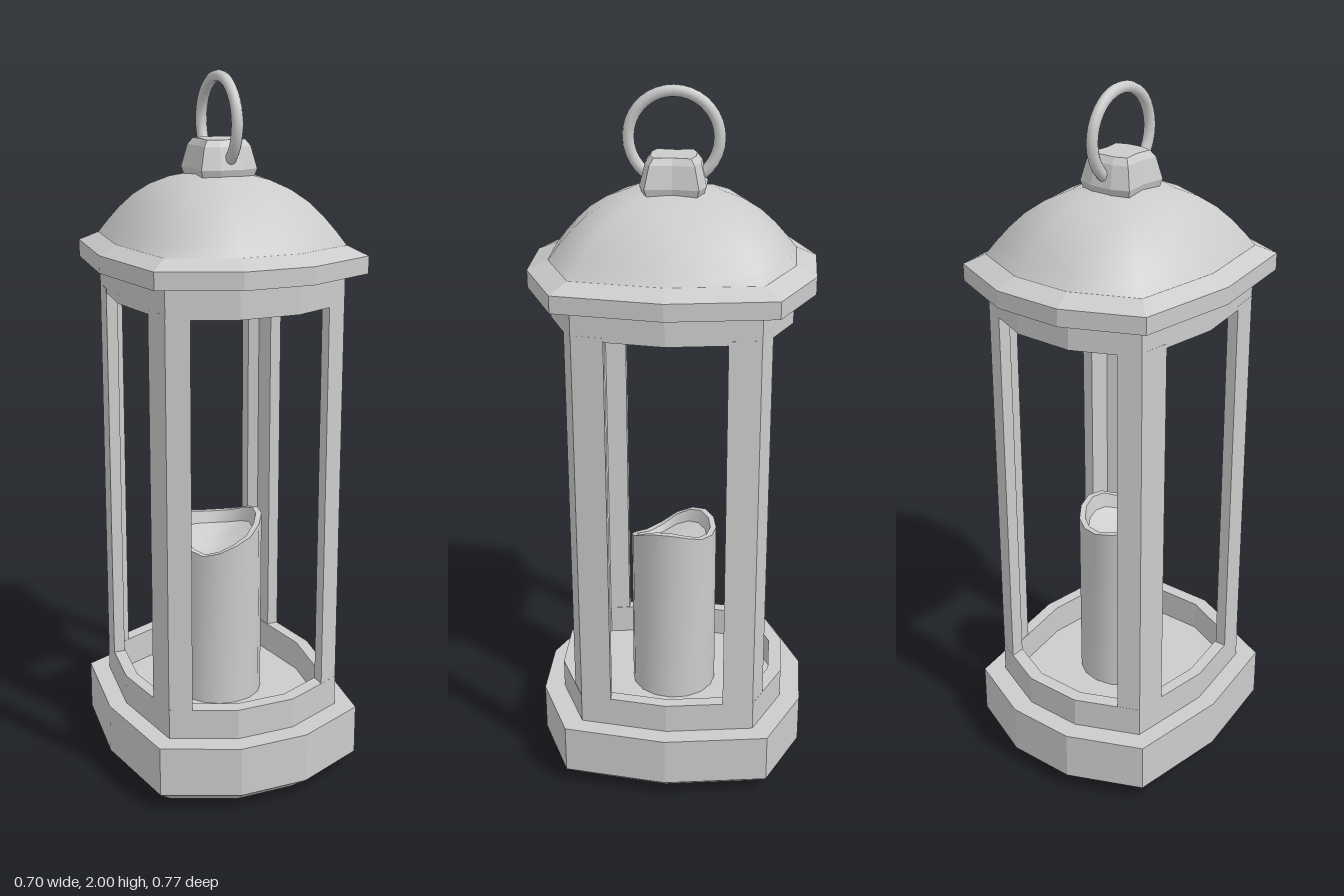
import * as THREE from 'three';
import { toCreasedNormals } from 'three/addons/utils/BufferGeometryUtils.js';

const material = new THREE.MeshStandardMaterial({ color: 0xcccccc });
const thin = new THREE.MeshStandardMaterial({ color: 0xcccccc, side: THREE.DoubleSide });

// Mirror one quarter outline [side, corner, end] into a ten-sided footprint
function tenSided([side, corner, end]) {
  const [c, e] = [corner, end];
  return [
    side, c, e, [-e[0], e[1]], [-c[0], c[1]],
    [-side[0], 0], [-c[0], -c[1]], [-e[0], -e[1]], [e[0], -e[1]], [c[0], -c[1]],
  ];
}
const footprint = tenSided([[0.35, 0], [0.308, 0.295], [0.1, 0.387]]);

// Skin a stack of rings of [x, y, z] points
function skin(rings) {
  const n = rings[0].length, index = [];
  for (let i = 0; i < rings.length - 1; i++) {
    for (let j = 0; j < n; j++) {
      const a = i * n + j, b = i * n + (j + 1) % n;
      index.push(a, a + n, b, b, a + n, b + n);
    }
  }
  const geometry = new THREE.BufferGeometry();
  geometry.setAttribute('position', new THREE.Float32BufferAttribute(rings.flat(2), 3));
  geometry.setIndex(index);
  geometry.computeVertexNormals();
  return geometry;
}

// Scale an outline through [scale, y] levels
const loft = (outline, levels) =>
  skin(levels.map(([s, y]) => outline.map(([x, z]) => [x * s, y, z * s])));

export function createModel() {
  const group = new THREE.Group();
  const add = (name, geometry, mat = material) => {
    const mesh = new THREE.Mesh(geometry, mat);
    mesh.name = name;
    group.add(mesh);
    return mesh;
  };
  const flat = (g) => toCreasedNormals(g, 0.05);

  // Chamfered plinth, closed top and bottom
  add('base', flat(loft(footprint, [[0, 0], [0.84, 0], [1, 0.048], [1, 0.192], [0, 0.192]])));

  // Hollow bands below and above the windows
  for (const [name, y0, y1] of [['lowerFrame', 0.19, 0.28], ['upperFrame', 1.388, 1.478]]) {
    add(name, flat(loft(footprint, [[0.75, y0], [0.85, y0], [0.85, y1], [0.75, y1], [0.75, y0]])));
  }

  // Four bent corner posts
  const section = [[0.275, 0.163], [0.262, 0.25], [0.202, 0.277],
    [0.202, 0.235], [0.231, 0.222], [0.242, 0.163]];
  for (const sx of [1, -1]) {
    for (const sz of [1, -1]) {
      const shape = new THREE.Shape(section.map(([x, z]) => new THREE.Vector2(x * sx, -z * sz)));
      const post = new THREE.ExtrudeGeometry(shape, { depth: 1.13, bevelEnabled: false });
      post.rotateX(-Math.PI / 2).translate(0, 0.27, 0);
      add('cornerPost', post);
    }
  }

  // Roof rim with sloping top, open in the middle
  add('roofRim', flat(loft(footprint,
    [[0.77, 1.475], [1, 1.475], [1, 1.523], [0.86, 1.548], [0.77, 1.548], [0.77, 1.475]])));

  // Smooth thin dome
  add('dome', loft(footprint, [[0.86, 1.546], [0.79, 1.582], [0.7, 1.623], [0.6, 1.66],
    [0.48, 1.691], [0.34, 1.714], [0.18, 1.728], [0, 1.732]]), thin);

  // Faceted finial
  const finial = tenSided([[0.073, 0], [0.082, 0.072], [0.033, 0.089]]);
  add('finial', flat(loft(finial,
    [[0, 1.722], [0.93, 1.722], [1, 1.742], [0.83, 1.802], [0.68, 1.82], [0, 1.82]])));

  // Carrying ring
  const ring = add('carryRing', new THREE.TorusGeometry(0.121, 0.016, 10, 36));
  ring.rotation.y = Math.PI / 2;
  ring.position.y = 1.863;

  // Candle with a melted, uneven rim; heights run from +x round through +z
  const rim = [0.745, 0.742, 0.725, 0.7, 0.683, 0.664, 0.652, 0.663,
    0.695, 0.718, 0.727, 0.722, 0.713, 0.712, 0.718, 0.734];
  const circle = (r, height) => rim.map((h, i) => {
    const a = (i / rim.length) * Math.PI * 2;
    return [Math.cos(a) * r, height(h), Math.sin(a) * r];
  });
  const candle = skin([
    circle(0.125, () => 0.19),
    circle(0.125, (h) => h),
    circle(0.108, (h) => h),
    circle(0.098, (h) => h * 0.7 + 0.18),
    circle(0.05, (h) => h * 0.25 + 0.485),
    circle(0, () => 0.655),
  ]);
  add('candle', toCreasedNormals(candle, 0.6));

  return group;
}
